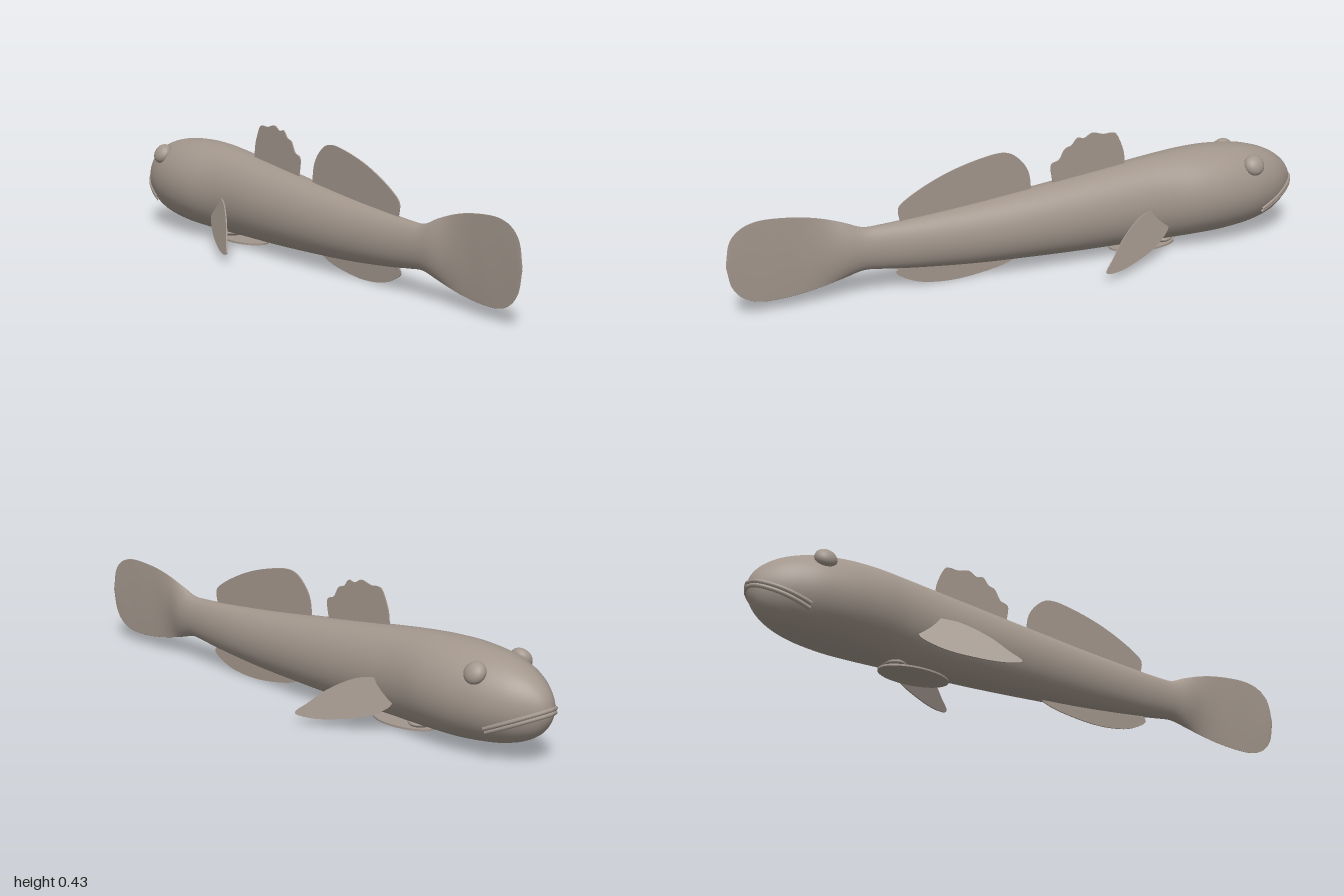
import * as THREE from 'three';

const skin = new THREE.MeshStandardMaterial({ color: 0xa2968c });
skin.name = 'taupe skin';

// Body sections: x, bottom y, top y, half width, pinch (0 = oval, 1 = sharp lens)
const SECTIONS = [
  [-0.995, 0.172, 0.176, 0.001, 0], [-0.985, 0.135, 0.21, 0.03, 0],
  [-0.96, 0.098, 0.243, 0.057, 0], [-0.92, 0.071, 0.273, 0.087, 0],
  [-0.87, 0.052, 0.296, 0.112, 0], [-0.8, 0.038, 0.315, 0.134, 0],
  [-0.7, 0.029, 0.326, 0.146, 0], [-0.6, 0.027, 0.327, 0.142, 0],
  [-0.5, 0.026, 0.322, 0.125, 0], [-0.4, 0.028, 0.313, 0.113, 0],
  [-0.2, 0.032, 0.291, 0.102, 0], [0, 0.04, 0.27, 0.089, 0],
  [0.2, 0.051, 0.25, 0.072, 0], [0.4, 0.07, 0.235, 0.052, 0],
  [0.5, 0.083, 0.23, 0.041, 0], [0.56, 0.088, 0.232, 0.035, 0.1],
  [0.62, 0.073, 0.257, 0.029, 0.5], [0.69, 0.057, 0.281, 0.012, 1],
  [0.76, 0.045, 0.297, 0.004, 1], [0.84, 0.039, 0.306, 0.003, 1],
  [0.9, 0.042, 0.305, 0.002, 1], [0.95, 0.062, 0.288, 0.002, 1],
  [0.985, 0.105, 0.25, 0.002, 1], [0.999, 0.172, 0.182, 0.001, 1],
];
const spine = new THREE.CatmullRomCurve3(
  SECTIONS.map(s => new THREE.Vector3(s[0], s[1], s[2])), false, 'catmullrom', 0.5);
const girth = new THREE.CatmullRomCurve3(
  SECTIONS.map(s => new THREE.Vector3(s[3], s[4], 0)), false, 'catmullrom', 0.5);

function sectionAt(t) {
  const p = spine.getPoint(t), g = girth.getPoint(t);
  return {
    x: p.x, mid: (p.y + p.z) / 2, half: (p.z - p.y) / 2,
    width: Math.max(g.x, 0.001), pinch: Math.max(g.y, 0),
  };
}

// Loft from snout to the rounded tail fan
function bodyGeometry() {
  const rows = 115, sides = 48, pos = [], index = [];
  for (let i = 0; i <= rows; i++) {
    const s = sectionAt(i / rows);
    for (let j = 0; j < sides; j++) {
      const a = (j / sides) * Math.PI * 2, c = Math.cos(a);
      pos.push(s.x, s.mid + s.half * Math.sin(a),
        s.width * c * Math.pow(Math.abs(c), s.pinch));
    }
  }
  for (let i = 0; i < rows; i++) {
    for (let j = 0; j < sides; j++) {
      const k = (j + 1) % sides;
      const a = i * sides + j, b = a + sides, c = i * sides + k, d = c + sides;
      index.push(a, b, c, c, b, d);
    }
  }
  const geo = new THREE.BufferGeometry();
  geo.setAttribute('position', new THREE.Float32BufferAttribute(pos, 3));
  geo.setIndex(index);
  geo.computeVertexNormals();
  return geo;
}

// Thin plate with a smooth outline, centred on z = 0
function finGeometry(points, thickness = 0.004) {
  const curve = new THREE.SplineCurve(points.map(p => new THREE.Vector2(...p)));
  const geo = new THREE.ExtrudeGeometry(new THREE.Shape(curve.getPoints(points.length * 5)),
    { depth: thickness, bevelEnabled: false });
  return geo.translate(0, 0, -thickness / 2);
}

const FIRST_DORSAL = [[-0.36, 0.29], [-0.355, 0.35], [-0.33, 0.41], [-0.31, 0.421],
  [-0.28, 0.42], [-0.24, 0.43], [-0.21, 0.416], [-0.185, 0.42], [-0.165, 0.398],
  [-0.14, 0.388], [-0.12, 0.355], [-0.09, 0.338], [-0.1, 0.27]];
const SECOND_DORSAL = [[-0.02, 0.25], [-0.01, 0.33], [0.03, 0.385], [0.08, 0.407],
  [0.16, 0.398], [0.26, 0.372], [0.35, 0.335], [0.42, 0.295], [0.44, 0.268], [0.43, 0.22]];
const ANAL = [[0.02, 0.05], [0.08, 0.024], [0.18, 0.007], [0.27, 0.002],
  [0.36, 0.012], [0.42, 0.035], [0.45, 0.06], [0.42, 0.09]];
const PECTORAL = [[-0.475, 0.11], [-0.465, 0.145], [-0.43, 0.17], [-0.35, 0.163],
  [-0.27, 0.12], [-0.215, 0.07], [-0.18, 0.037], [-0.21, 0.026], [-0.28, 0.028],
  [-0.39, 0.05], [-0.46, 0.085], [-0.475, 0.11]];

// Pectoral plate swept outward toward its tip and leaning in at the top
function pectoralGeometry(side) {
  const geo = finGeometry(PECTORAL, 0.005), p = geo.attributes.position;
  for (let i = 0; i < p.count; i++) {
    const out = 0.113 + 0.37 * (p.getX(i) + 0.48) - 0.28 * (p.getY(i) - 0.06);
    p.setZ(i, p.getZ(i) + side * out);
  }
  geo.computeVertexNormals();
  return geo;
}

// Lip following the snout surface from one mouth corner round to the other
function lipGeometry(drop) {
  const path = [], n = 14, end = 4.55 / (SECTIONS.length - 1);
  for (let i = -n; i <= n; i++) {
    const s = sectionAt(end * Math.abs(i) / n);
    const y = 0.182 - drop - 0.44 * (s.x + 1);
    const k = THREE.MathUtils.clamp((y - s.mid) / s.half, -1, 1);
    path.push(new THREE.Vector3(s.x, y, Math.sign(i) * s.width * Math.sqrt(1 - k * k)));
  }
  return new THREE.TubeGeometry(new THREE.CatmullRomCurve3(path), 70, 0.007, 8);
}

export function createModel() {
  const fish = new THREE.Group();
  fish.name = 'fish';
  const add = (name, geo) => {
    const mesh = new THREE.Mesh(geo, skin);
    mesh.name = name;
    fish.add(mesh);
    return mesh;
  };

  add('bodyAndTail', bodyGeometry());
  add('firstDorsalFin', finGeometry(FIRST_DORSAL));
  add('secondDorsalFin', finGeometry(SECOND_DORSAL));
  add('analFin', finGeometry(ANAL));
  add('upperLip', lipGeometry(0));
  add('lowerLip', lipGeometry(0.013));

  // Paired parts: left side is -z because the head points to -x
  for (const [label, side] of [['near', 1], ['far', -1]]) {
    add(label + 'PectoralFin', pectoralGeometry(side));
    const eye = add(label + 'Eye', new THREE.SphereGeometry(0.036, 24, 16));
    eye.scale.set(1, 1, 0.72);
    eye.position.set(-0.795, 0.27, side * 0.106);
    eye.rotation.x = side > 0 ? -0.62 : 0.62;
  }

  // Sucker disc under the belly, on a short stalk
  const disc = add('pelvicDisc', new THREE.CylinderGeometry(1, 1, 0.006, 32));
  disc.scale.set(0.12, 1, 0.065);
  disc.position.set(-0.43, 0.014, 0);
  const stalk = add('pelvicStalk', new THREE.SphereGeometry(1, 24, 12));
  stalk.scale.set(0.04, 0.015, 0.048);
  stalk.position.set(-0.5, 0.028, 0);

  return fish;
}
